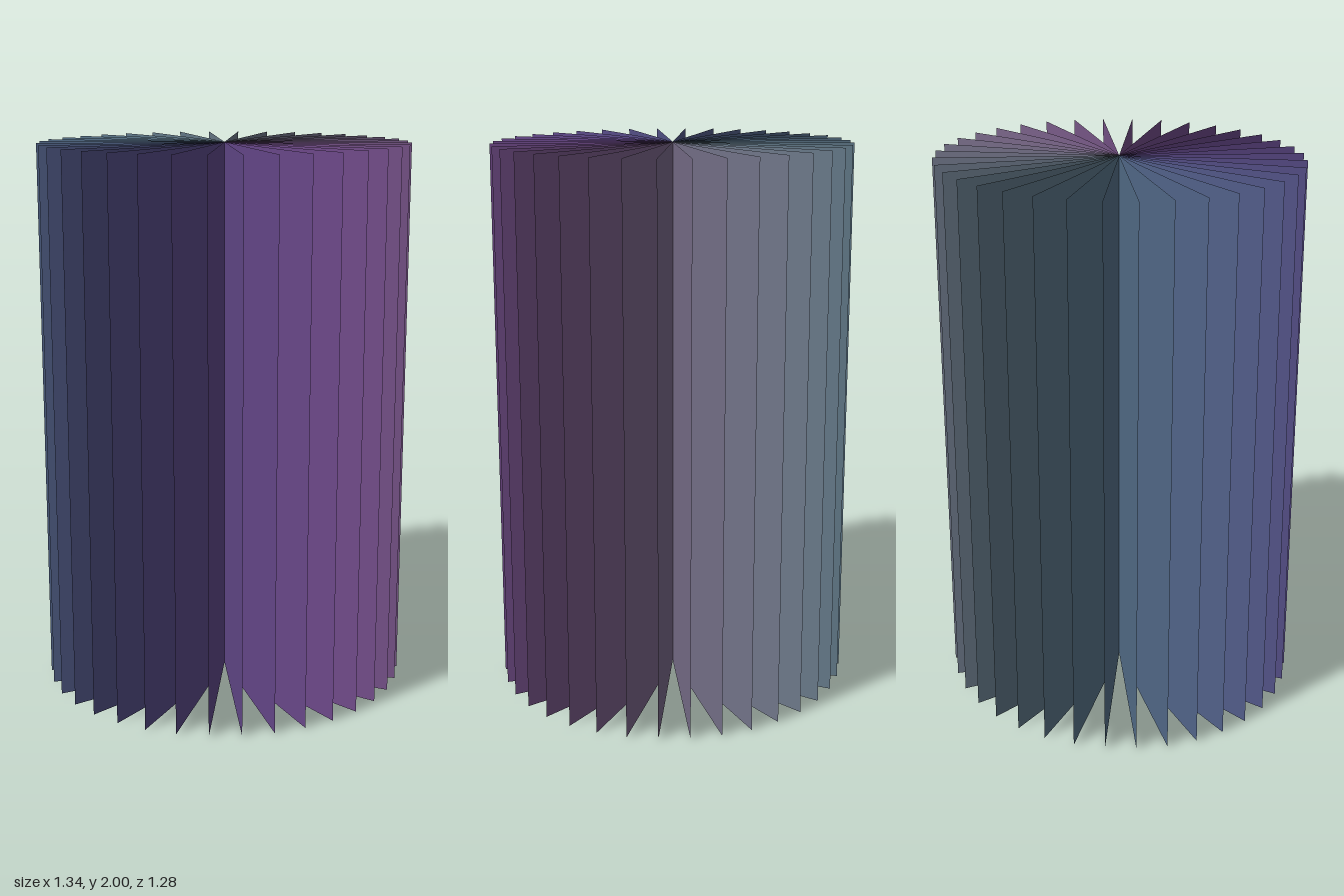
import * as THREE from 'three';

const COUNT = 36;     // leaves around the spine
const HEIGHT = 2;
const RX = 0.67;      // reach of the fan along x
const RZ = 0.642;     // reach of the fan along z

// One flat upright leaf, from the spine to the rim, tinted by its direction
function makeLeaf(angle) {
  const dx = Math.sin(angle), dz = Math.cos(angle);
  const x = RX * dx, z = RZ * dz;
  const reach = Math.hypot(x, z);

  const geometry = new THREE.PlaneGeometry(reach, HEIGHT);
  geometry.translate(reach / 2, HEIGHT / 2, 0);
  geometry.rotateY(Math.atan2(-z, x));

  const color = new THREE.Color().setRGB(
    0.40 + 0.08 * dx,
    0.38 - 0.10 * dz,
    0.54,
    THREE.SRGBColorSpace
  );
  const material = new THREE.MeshStandardMaterial({ color, side: THREE.DoubleSide });
  const leaf = new THREE.Mesh(geometry, material);
  leaf.name = 'leaf';
  return leaf;
}

export function createModel() {
  const model = new THREE.Group();
  model.name = 'leafFan';

  // Leaves spread evenly round the full circle
  for (let i = 0; i < COUNT; i++) {
    model.add(makeLeaf((i / COUNT) * Math.PI * 2));
  }
  return model;
}
